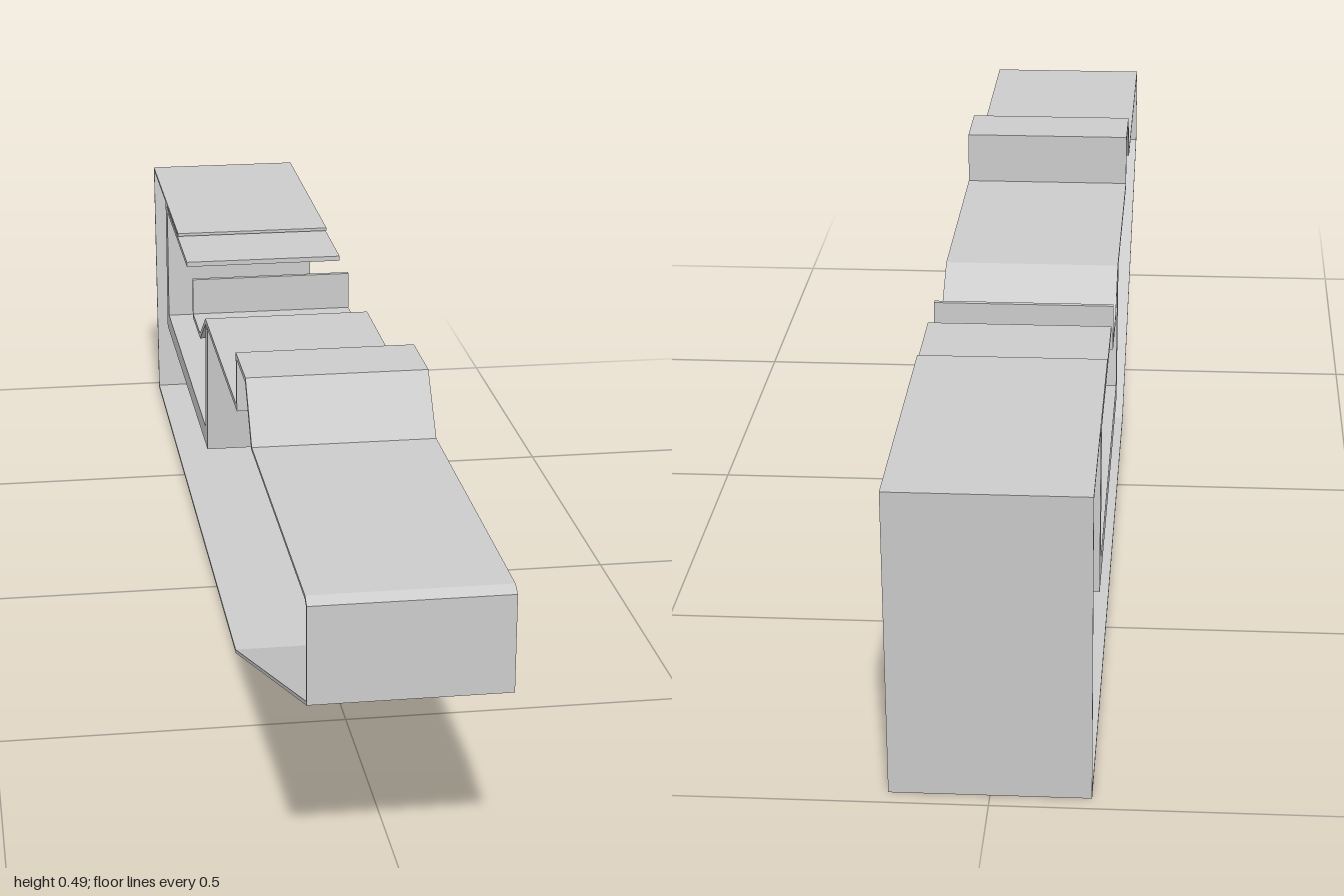
import * as THREE from 'three';

const HALF = 0.13; // half width
const material = new THREE.MeshStandardMaterial({ color: 0xcccccc, flatShading: true, side: THREE.DoubleSide });

// Extrudes a [z, y] outline across the width, from x = +HALF inward by depth.
function extrudeProfile(name, points, depth) {
  const shape = new THREE.Shape(points.map(([z, y]) => new THREE.Vector2(z, y)));
  const geometry = new THREE.ExtrudeGeometry(shape, { depth, bevelEnabled: false });
  geometry.rotateY(-Math.PI / 2).translate(HALF, 0, 0);
  const mesh = new THREE.Mesh(geometry, material);
  mesh.name = name;
  return mesh;
}

// Full-width bent sheet: follows a [z, y] path, thickened to its left by t.
function sheet(name, path, t) {
  const pts = path.map(([z, y]) => new THREE.Vector2(z, y));
  const normal = (a, b) => {
    const d = b.clone().sub(a).normalize();
    return new THREE.Vector2(-d.y, d.x);
  };
  const inner = pts.map((p, i) => {
    const n1 = normal(pts[Math.max(i - 1, 0)], pts[Math.max(i, 1)]);
    const last = pts.length - 1;
    const n2 = normal(pts[Math.min(i, last - 1)], pts[Math.min(i + 1, last)]);
    const miter = n1.clone().add(n2).divideScalar(1 + n1.dot(n2));
    return [p.x + miter.x * t, p.y + miter.y * t];
  });
  return extrudeProfile(name, [...path, ...inner.reverse()], HALF * 2);
}

export function createModel() {
  const group = new THREE.Group();
  group.name = 'openHousing';

  const rear = [[-0.74, 0.43], [-1, 0.43], [-0.975, 0]];
  const nose = [[0.26, 0.003], [1, 0.273], [1, 0.405], [0.985, 0.413], [0.472, 0.413]];
  const hump = [[0.472, 0.413], [0.405, 0.492], [0.292, 0.492], [0.292, 0.413], [-0.115, 0.413]];
  const pocket = [[-0.115, 0.405], [-0.133, 0.225], [-0.74, 0.22], [-0.74, 0.425]];

  // Closed side; the opposite side stays open
  group.add(extrudeProfile('sideWall', [...rear, ...nose, ...hump.slice(1), ...pocket], 0.005));

  // Outer skin: tail plate, back wall, underside, sloped bow and front deck
  group.add(sheet('outerSkin', [[-0.545, 0.43], ...rear, ...nose], 0.005));

  // Raised block, middle deck and the hooked clip hanging over the pocket
  group.add(sheet('deckAndClip', [...hump, [-0.2, 0.361], [-0.303, 0.361], [-0.303, 0.42]], 0.008));

  // Thick walls and floor of the pocket
  group.add(sheet('pocket', pocket, 0.03));

  // Thin tongue projecting from under the tail plate
  group.add(sheet('tongue', [[-0.398, 0.422], [-0.74, 0.422]], 0.008));
  return group;
}
